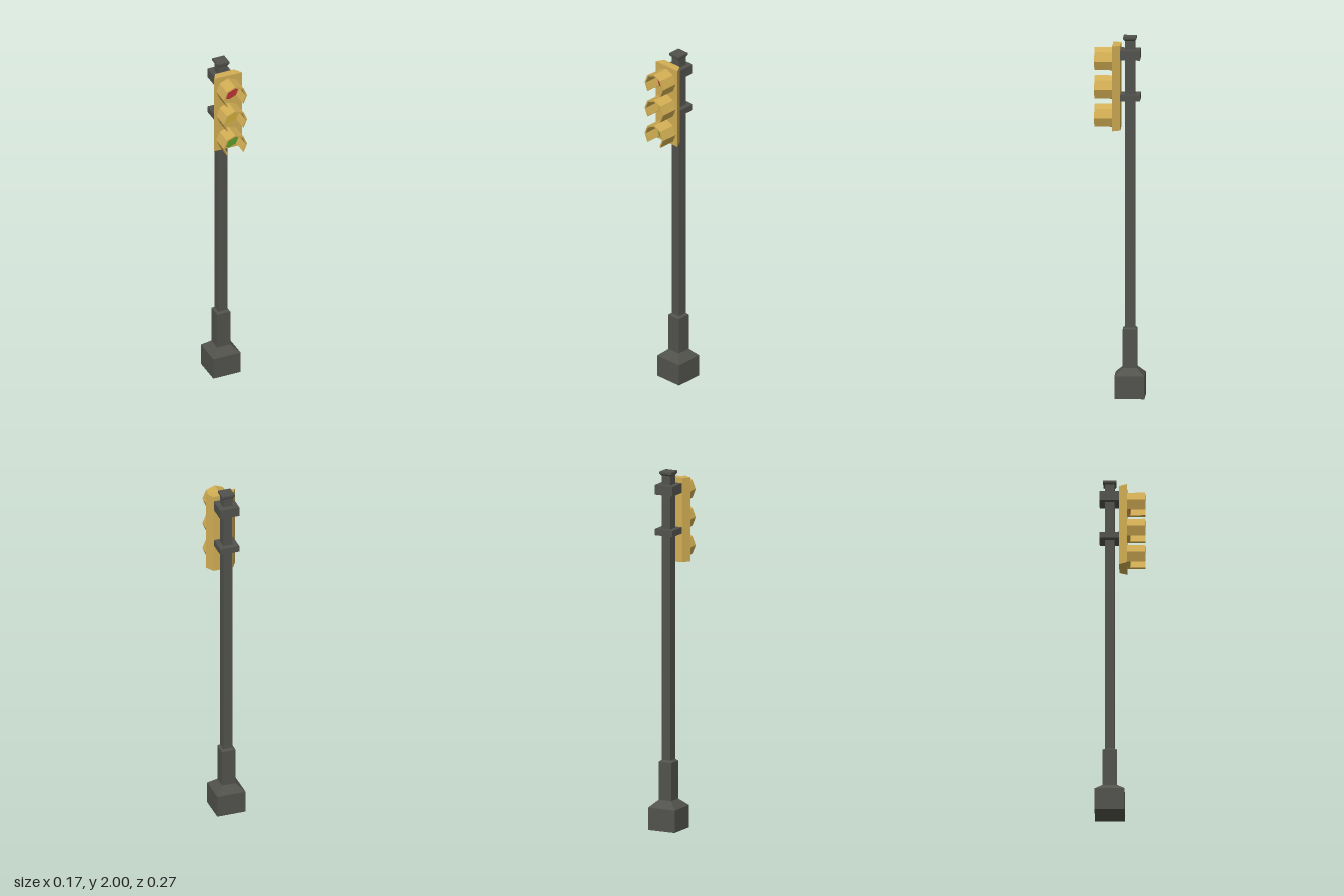
import * as THREE from 'three';

const POLE_Z = -0.056;

const material = (name, color) => {
  const m = new THREE.MeshStandardMaterial({ color });
  m.name = name;
  return m;
};

function addMesh(parent, name, geometry, mat) {
  const mesh = new THREE.Mesh(geometry, mat);
  mesh.name = name;
  parent.add(mesh);
  return mesh;
}

// Square column between two heights, with half-widths at bottom and top
function squareColumn(halfBottom, halfTop, y0, y1) {
  const g = new THREE.CylinderGeometry(halfTop * Math.SQRT2, halfBottom * Math.SQRT2, y1 - y0, 4)
    .rotateY(Math.PI / 4)
    .translate(0, (y0 + y1) / 2, POLE_Z)
    .toNonIndexed();
  g.computeVertexNormals();
  return g;
}

// Six sides of an octagonal tube, open at the bottom
function visorGeometry(outer, inner, depth) {
  const points = [];
  const corner = (r, i) => {
    const a = (i - 1) * Math.PI / 4;
    points.push(new THREE.Vector2(r * Math.cos(a), r * Math.sin(a)));
  };
  for (let i = 0; i <= 6; i++) corner(outer, i);
  for (let i = 6; i >= 0; i--) corner(inner, i);
  return new THREE.ExtrudeGeometry(new THREE.Shape(points), { depth, bevelEnabled: false });
}

export function createModel() {
  const model = new THREE.Group();
  model.name = 'trafficLight';

  const iron = material('dark iron', 0x52524d);
  const yellow = material('housing yellow', 0xd2ae54);
  const lenses = [
    ['red', material('red lens', 0xbc3338), 1.868],
    ['amber', material('amber lens', 0xd0ae38), 1.711],
    ['green', material('green lens', 0x5f9c2e), 1.554],
  ];

  // Post, from the ground up
  const post = new THREE.Group();
  post.name = 'post';
  model.add(post);
  [
    ['base', 0.082, 0.082, 0, 0.125],
    ['baseShoulder', 0.082, 0.039, 0.125, 0.165],
    ['sleeve', 0.039, 0.039, 0.165, 0.378],
    ['sleeveChamfer', 0.039, 0.027, 0.378, 0.388],
    ['pole', 0.027, 0.027, 0.388, 1.98],
    ['capTaper', 0.028, 0.036, 1.978, 1.987],
    ['cap', 0.036, 0.036, 1.987, 2],
  ].forEach(([name, ...dims]) => addMesh(post, name, squareColumn(...dims), iron));

  // Brackets clamping the housing to the pole
  [['upperBracket', 1.873, 1.927], ['lowerBracket', 1.646, 1.681]].forEach(([name, y0, y1]) => {
    const bracket = addMesh(post, name, new THREE.BoxGeometry(0.11, y1 - y0, 0.112), iron);
    bracket.position.set(0, (y0 + y1) / 2, POLE_Z);
  });

  // Housing: wide in front, narrower at the back
  const plan = new THREE.Shape([
    new THREE.Vector2(-0.083, -0.039),
    new THREE.Vector2(0.083, -0.039),
    new THREE.Vector2(0.057, 0.005),
    new THREE.Vector2(-0.057, 0.005),
  ]);
  const housing = new THREE.ExtrudeGeometry(plan, { depth: 0.47, bevelEnabled: false });
  housing.rotateX(-Math.PI / 2);
  addMesh(model, 'housing', housing, yellow).position.y = 1.485;

  // Three lamps, each with a rimmed lens and a visor
  const visor = visorGeometry(0.07, 0.061, 0.098);
  const rim = new THREE.CylinderGeometry(0.061, 0.061, 0.014, 8).rotateX(Math.PI / 2).toNonIndexed();
  rim.computeVertexNormals();
  const lens = new THREE.CylinderGeometry(0.056, 0.056, 0.004, 8).rotateX(Math.PI / 2).toNonIndexed();
  lens.computeVertexNormals();
  for (const [name, mat, y] of lenses) {
    const lamp = new THREE.Group();
    lamp.name = name + 'Lamp';
    lamp.position.set(0, y, 0.039);
    addMesh(lamp, 'visor', visor, yellow);
    addMesh(lamp, 'lensRim', rim, yellow).position.z = 0.007;
    addMesh(lamp, 'lens', lens, mat).position.z = 0.014;
    model.add(lamp);
  }

  return model;
}
